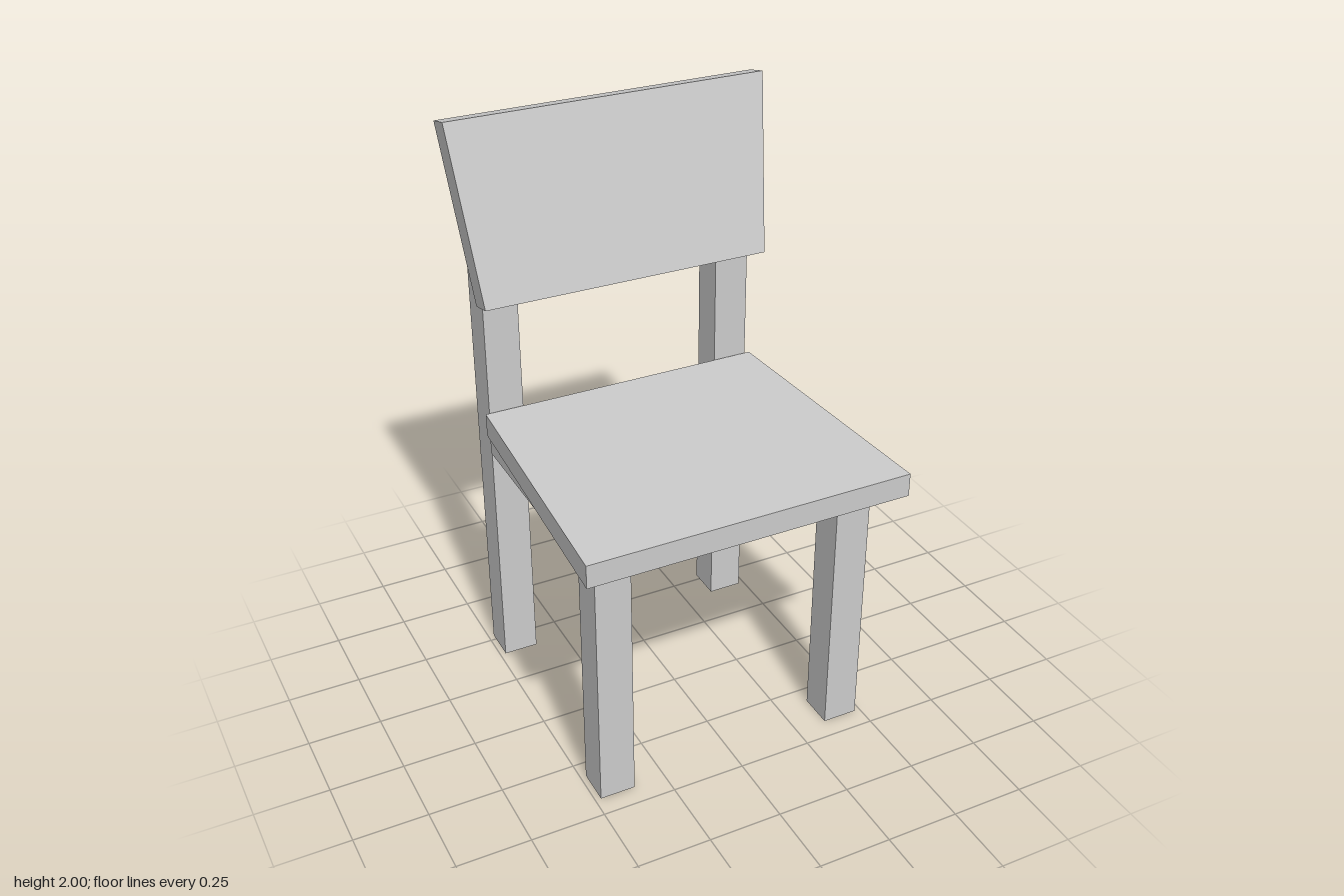
import * as THREE from 'three';

const material = new THREE.MeshStandardMaterial({ color: 0xcccccc, flatShading: true });

function add(group, name, geometry) {
  const mesh = new THREE.Mesh(geometry, material);
  mesh.name = name;
  group.add(mesh);
}

// Box given by its minimum and maximum on each axis
function block(x0, x1, y0, y1, z0, z1) {
  return new THREE.BoxGeometry(x1 - x0, y1 - y0, z1 - z0)
    .translate((x0 + x1) / 2, (y0 + y1) / 2, (z0 + z1) / 2);
}

// Side outline of [z, y] points, spread across x from x0 to x1
function sideProfile(points, x0, x1) {
  const shape = new THREE.Shape(points.map(([z, y]) => new THREE.Vector2(-z, y)));
  return new THREE.ExtrudeGeometry(shape, { depth: x1 - x0, bevelEnabled: false })
    .rotateY(Math.PI / 2).translate(x0, 0, 0);
}

// Scale x by a rule depending on y and z
function taper(geometry, halfWidth) {
  const p = geometry.attributes.position;
  for (let i = 0; i < p.count; i++) {
    p.setX(i, Math.sign(p.getX(i)) * halfWidth(p.getY(i), p.getZ(i)));
  }
  geometry.computeVertexNormals();
  return geometry;
}

export function createModel() {
  const chair = new THREE.Group();
  chair.name = 'chair';

  // Seat board, narrower toward the back
  add(chair, 'seat', taper(block(-0.55, 0.55, 0.925, 1.005, -0.4, 0.537),
    (y, z) => 0.55 - 0.055 * (0.537 - z) / 0.937));

  // Tilted backrest, wider at the top
  const back = sideProfile([[-0.32, 1.42], [-0.403, 1.4], [-0.537, 1.98], [-0.455, 2]], -0.5, 0.5);
  add(chair, 'backrest', taper(back, (y) => (y < 1.7 ? 0.5 : 0.55)));

  for (const [side, s] of [['left', 1], ['right', -1]]) {
    const x0 = Math.min(s * 0.36, s * 0.48), x1 = x0 + 0.12;
    add(chair, side + 'FrontLeg', block(x0, x1, 0, 0.925, 0.31, 0.43));

    // Rear leg, cut at a slant to carry the backrest
    add(chair, side + 'BackLeg',
      sideProfile([[-0.405, 0], [-0.525, 0], [-0.525, 1.91], [-0.405, 1.4]], x0, x1));

    // Side rail under the seat
    const r0 = Math.min(s * 0.41, s * 0.483);
    add(chair, side + 'Rail', block(r0, r0 + 0.073, 0.85, 0.923, -0.405, 0.428));
  }

  // Cross rails under the seat
  add(chair, 'frontRail', block(-0.41, 0.41, 0.85, 0.923, 0.357, 0.43));
  add(chair, 'backRail', block(-0.41, 0.41, 0.85, 0.923, -0.402, -0.327));

  return chair;
}
